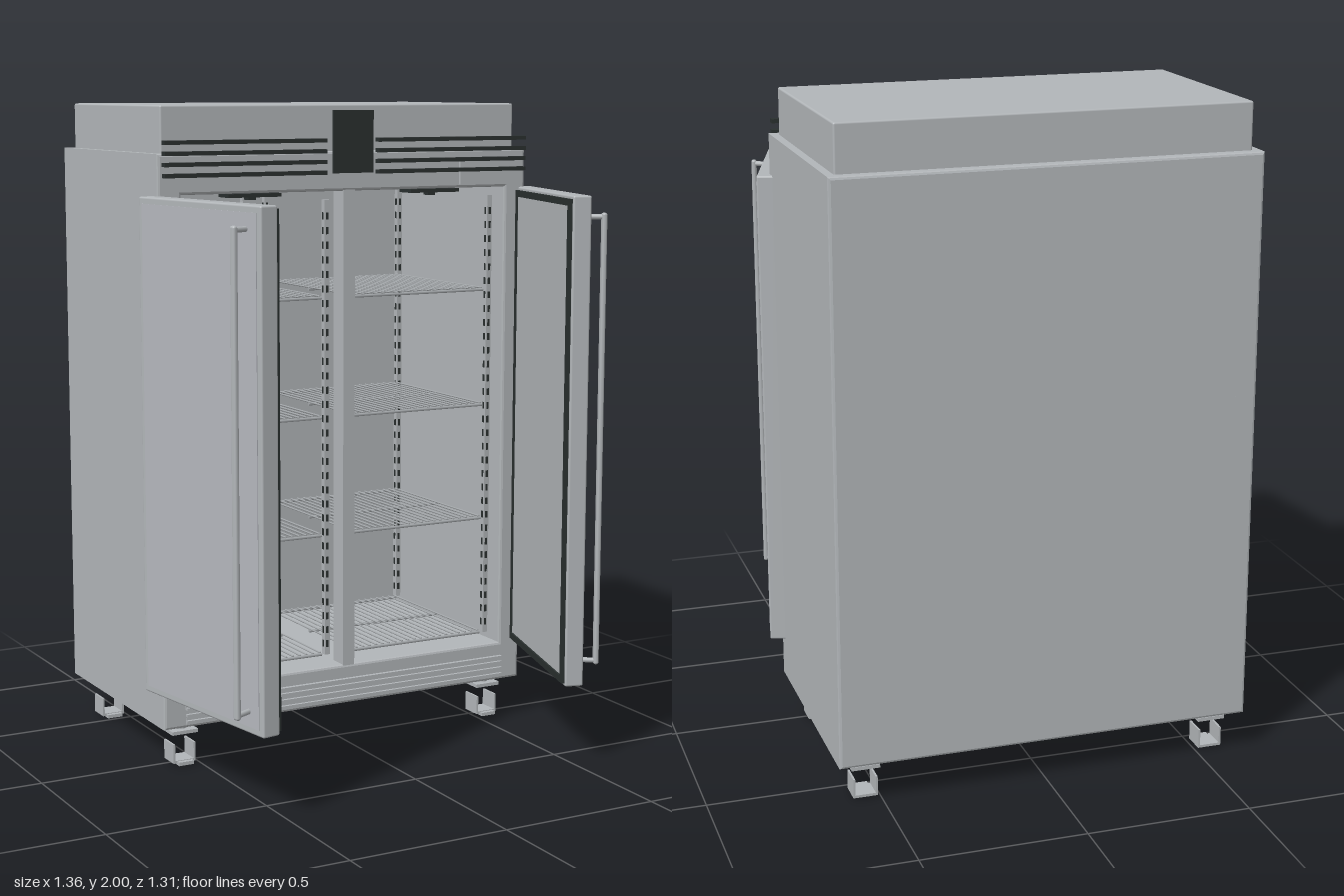
import * as THREE from 'three';
import { mergeGeometries } from 'three/addons/utils/BufferGeometryUtils.js';
import { RoundedBoxGeometry } from 'three/addons/geometries/RoundedBoxGeometry.js';

const steel = new THREE.MeshStandardMaterial({ name: 'steel', color: 0xb2b6b9 });
const doorSteel = new THREE.MeshStandardMaterial({ name: 'doorSteel', color: 0xb5b7be });
const wire = new THREE.MeshStandardMaterial({ name: 'wire', color: 0xa6aaad });
const black = new THREE.MeshStandardMaterial({ name: 'black', color: 0x2a302f });

const mesh = (name, geo, mat, parent) => {
  const m = new THREE.Mesh(geo, mat);
  m.name = name;
  parent.add(m);
  return m;
};

// Box given by its limits
const box = (x0, x1, y0, y1, z0, z1) =>
  new THREE.BoxGeometry(Math.abs(x1 - x0), y1 - y0, z1 - z0)
    .translate((x0 + x1) / 2, (y0 + y1) / 2, (z0 + z1) / 2);

const rounded = (x0, x1, y0, y1, z0, z1, r) =>
  new RoundedBoxGeometry(Math.abs(x1 - x0), y1 - y0, z1 - z0, 2, r)
    .translate((x0 + x1) / 2, (y0 + y1) / 2, (z0 + z1) / 2);

const rectPath = (P, x, y0, y1) => {
  const p = new P();
  p.moveTo(-x, y0);
  p.lineTo(x, y0);
  p.lineTo(x, y1);
  p.lineTo(-x, y1);
  p.closePath();
  return p;
};

function addCabinet(root) {
  const g = new THREE.Group();
  g.name = 'cabinet';
  root.add(g);
  // Hollow shell with softened edges
  const b = 0.008;
  const outline = rectPath(THREE.Shape, 0.635 - b, 0.13 + b, 1.86 - b);
  outline.holes.push(rectPath(THREE.Path, 0.56 + b, 0.255 - b, 1.74 + b));
  const shell = new THREE.ExtrudeGeometry(outline, {
    depth: 0.74 - 2 * b, bevelThickness: b, bevelSize: b, bevelSegments: 2,
  }).translate(0, 0, -0.655 + b);
  mesh('shell', shell, steel, g);
  mesh('backWall', box(-0.575, 0.575, 0.24, 1.755, -0.655, -0.59), steel, g);
  mesh('mullion', box(-0.02, 0.02, 0.25, 1.745, 0.02, 0.083), steel, g);
  mesh('topHousing', rounded(-0.61, 0.61, 1.85, 2, -0.62, 0.05, 0.006), steel, g);

  // Ceiling vents
  for (const s of [-1, 1]) {
    mesh('ceilingVent', box(s * 0.225, s * 0.4, 1.727, 1.738, 0, 0.07), black, g);
    mesh('ceilingSensor', box(s * 0.3, s * 0.325, 1.718, 1.728, 0.02, 0.05), black, g);
  }
}

function addFascia(root) {
  const g = new THREE.Group();
  g.name = 'fascia';
  root.add(g);
  // Dark slats on either side of the display
  for (const s of [-1, 1])
    for (const y of [1.797, 1.829, 1.861, 1.893])
      mesh('slat', box(s * 0.09, s * 0.622, y - 0.006, y + 0.006, 0.087, 0.11), black, g);
  mesh('display', box(-0.07, 0.066, 1.795, 1.983, 0.107, 0.117), black, g);
  mesh('displayMount', box(-0.05, 0.05, 1.8, 1.855, 0.08, 0.107), steel, g);
  mesh('lockPlate', box(0.39, 0.575, 1.75, 1.825, 0.08, 0.094), steel, g);

  // Lower ventilation grille
  mesh('grillePlate', box(-0.565, 0.565, 0.14, 0.212, 0.08, 0.088), steel, g);
  for (const y of [0.15, 0.17, 0.19, 0.208])
    mesh('grilleSlat', box(-0.565, 0.565, y - 0.004, y + 0.004, 0.087, 0.098), steel, g);
}

function addInterior(root) {
  const g = new THREE.Group();
  g.name = 'interior';
  root.add(g);
  // Slotted uprights, front and rear, at the centre and at the side walls
  const posts = [], slots = [];
  for (const s of [-1, 1])
    for (const x of [0.04, 0.55])
      for (const z of [0.005, -0.565]) {
        posts.push(box(s * (x - 0.009), s * (x + 0.009), 0.275, 1.71, z - 0.01, z + 0.01));
        for (let y = 0.3; y < 1.69; y += 0.045)
          slots.push(box(s * (x - 0.004), s * (x + 0.004), y, y + 0.022, z - 0.0115, z + 0.0115),
            box(s * (x - 0.0105), s * (x + 0.0105), y, y + 0.022, z - 0.004, z + 0.004));
      }
  mesh('uprights', mergeGeometries(posts), steel, g);
  mesh('uprightSlots', mergeGeometries(slots), black, g);

  // Wire shelves
  for (const s of [-1, 1])
    for (const y of [0.275, 0.66, 1.035, 1.41]) {
      const bars = [];
      for (let i = 0; i <= 20; i++)
        bars.push(new THREE.CylinderGeometry(0.003, 0.003, 0.55, 6)
          .rotateX(Math.PI / 2).translate(s * (0.055 + i * 0.024), y + 0.003, -0.28));
      for (const z of [-0.555, -0.28, -0.005])
        bars.push(new THREE.CylinderGeometry(0.005, 0.005, 0.49, 6)
          .rotateZ(Math.PI / 2).translate(s * 0.295, y - 0.003, z));
      mesh('wireShelf', mergeGeometries(bars), wire, g);
    }
}

// s = -1 or 1 for the side, angle is the turn from straight ahead
function addDoor(root, s, hingeZ, angle) {
  const g = new THREE.Group();
  g.name = s < 0 ? 'rightDoor' : 'leftDoor';
  g.position.set(s * 0.681, 0, hingeZ);
  g.rotation.y = -s * THREE.MathUtils.degToRad(angle);
  root.add(g);
  const X = (d) => -s * d; // d grows from the outer face inward
  const L = 0.612;
  mesh('doorSlab', rounded(X(0), X(0.057), 0.255, 1.738, 0, L, 0.006), steel, g);
  mesh('doorSkin', box(X(-0.002), X(0.004), 0.275, 1.718, 0.02, L - 0.02), doorSteel, g);
  mesh('doorLiner', box(X(0.05), X(0.061), 0.285, 1.708, 0.06, L - 0.03), steel, g);

  // Seal around the inner face
  mesh('seal', mergeGeometries([
    box(X(0.055), X(0.067), 0.265, 1.728, 0.035, 0.055),
    box(X(0.055), X(0.067), 0.265, 1.728, L - 0.028, L - 0.008),
    box(X(0.055), X(0.067), 0.265, 0.285, 0.055, L - 0.028),
    box(X(0.055), X(0.067), 1.708, 1.728, 0.055, L - 0.028),
  ]), black, g);

  // Bar handle on two sloped standoffs
  for (const y of [0.32, 1.673]) {
    const path = new THREE.LineCurve3(new THREE.Vector3(X(0.01), y, 0.54),
      new THREE.Vector3(X(-0.055), y, 0.562));
    mesh('handleStandoff', new THREE.TubeGeometry(path, 1, 0.008, 10), steel, g);
  }
  mesh('handleBar', rounded(X(-0.063), X(-0.047), 0.308, 1.685, 0.552, 0.574, 0.007), steel, g);
}

function addFoot(root, x, z) {
  const g = new THREE.Group();
  g.name = 'foot';
  g.position.set(x, 0, z);
  root.add(g);
  // Mounting plate and stem
  mesh('footPlate', box(-0.043, 0.043, 0.097, 0.108, -0.043, 0.043), steel, g);
  mesh('footStem', new THREE.CylinderGeometry(0.022, 0.022, 0.03, 16).translate(0, 0.12, 0), steel, g);
  // Floor bracket with two cheeks and a base
  for (const s of [-1, 1])
    mesh('bracketCheek', box(s * 0.031, s * 0.037, 0.005, 0.065, -0.035, 0.035), steel, g);
  mesh('bracketBase', box(-0.032, 0.032, 0.005, 0.013, -0.035, 0.035), steel, g);
  mesh('bracketLip', box(-0.025, 0.025, 0, 0.011, 0.02, 0.05), steel, g);
}

export function createModel() {
  const root = new THREE.Group();
  root.name = 'doubleDoorRefrigerator';
  addCabinet(root);
  addFascia(root);
  addInterior(root);
  addDoor(root, -1, 0.05, 9);
  addDoor(root, 1, 0.055, 16.7);
  for (const x of [-0.548, 0.546])
    for (const z of [0, -0.565]) addFoot(root, x, z);
  return root;
}
